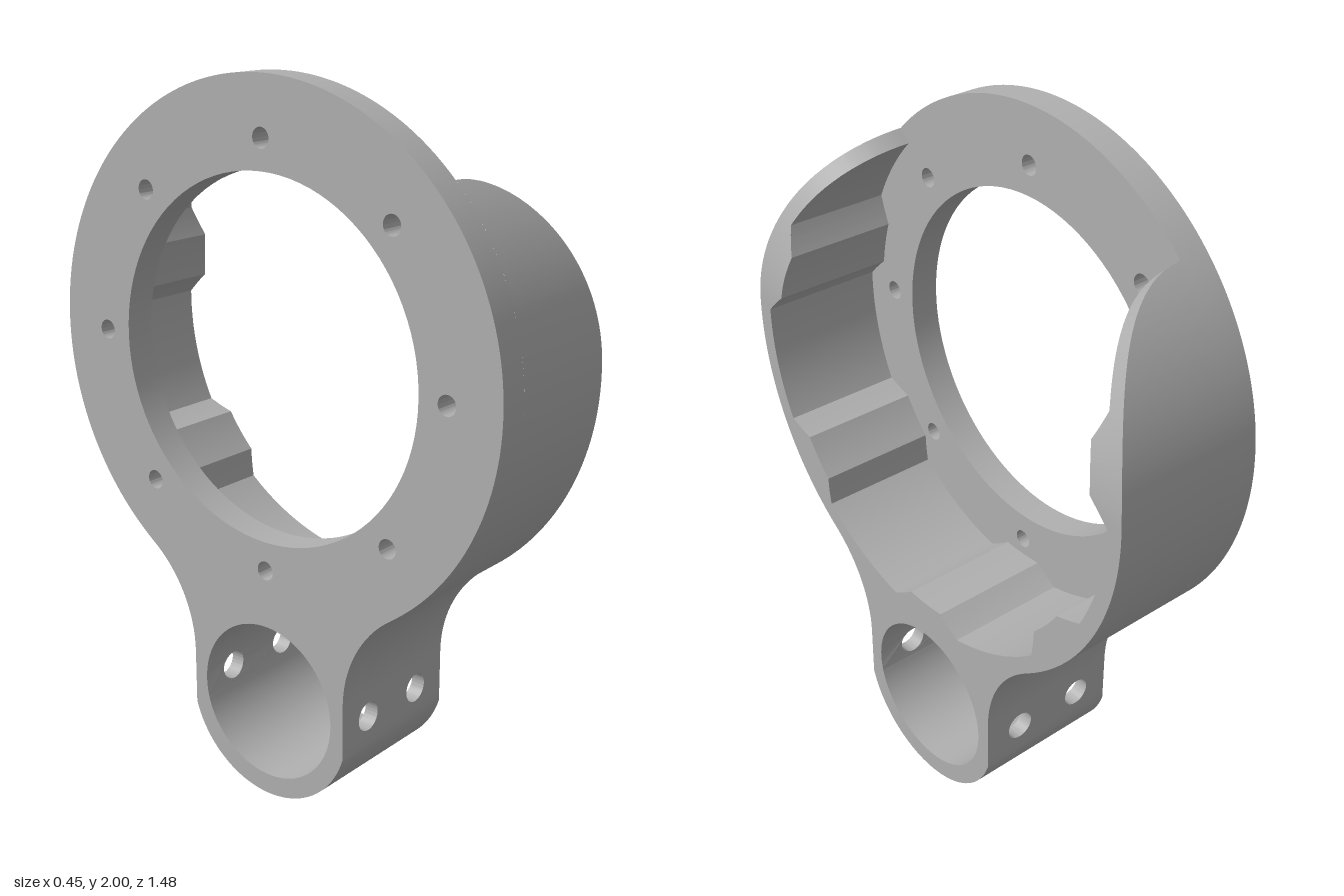
import * as THREE from 'three';
import { toCreasedNormals } from 'three/addons/utils/BufferGeometryUtils.js';

const RAD = Math.PI / 180;
const BACK = -0.225, STEP = -0.137, FRONT = 0.225;      // depth planes along x
const RING = { y: 1.262, r: 0.738, bore: 0.497 };       // large ring
const CLAMP = { y: 0.2875, r: 0.228, half: 0.27, dy: 0.0525 }; // tube clamp
const NECK = { z: 0.635, y: 0.36, r: 0.365 };           // concave fillet
const WALL_END = 93, TIP_END = 134.5;                   // degrees from straight down

const v2 = (x, y) => new THREE.Vector2(x, y);
const polar = (r, deg) => v2(r * Math.sin(deg * RAD), RING.y - r * Math.cos(deg * RAD));
const mirror = (pts) => pts.map((p) => v2(-p.x, p.y)).reverse();

// Arc points, angles in degrees counter-clockwise from +x
function arc(cx, cy, r, a0, a1, n) {
  return Array.from({ length: n + 1 }, (_, i) => {
    const a = (a0 + (a1 - a0) * i / n) * RAD;
    return v2(cx + r * Math.cos(a), cy + r * Math.sin(a));
  });
}

function circleHole(x, y, r) {
  return new THREE.Path().absarc(x, y, r, 0, Math.PI * 2, true);
}

// Extrude a side profile along x
function slab(shape, x0, x1) {
  const g = new THREE.ExtrudeGeometry(shape, { depth: x1 - x0, bevelEnabled: false, curveSegments: 48 });
  g.translate(0, 0, x0);
  g.rotateY(Math.PI / 2);
  return toCreasedNormals(g, 0.4);
}

// Pocket radius: seven evenly spaced inward ribs with sloped flanks
function pocketRadius(deg) {
  const pitch = 360 / 7;
  const d = Math.abs(deg - Math.round(deg / pitch) * pitch);
  return 0.633 + 0.057 * THREE.MathUtils.clamp((d - 6) / 5.5, 0, 1);
}

// Sampled angles plus the exact rib corners
function withRibCorners(angles, lo, hi) {
  for (let k = -3; k <= 3; k++)
    for (const d of [-11.5, -6, 6, 11.5]) angles.push(k * 360 / 7 + d);
  return angles.filter((a) => a >= lo && a <= hi).sort((a, b) => a - b)
    .filter((a, i, s) => i === 0 || a - s[i - 1] > 0.01);
}

// Right half of the outer outline, from the clamp up to a ring angle
function outerHalf(endDeg) {
  const start = Math.atan2(NECK.z, RING.y - NECK.y) / RAD;
  const pts = [v2(CLAMP.half, CLAMP.y + CLAMP.dy)];
  pts.push(...arc(NECK.z, NECK.y, NECK.r, 180, 90 + start, 16));
  const n = Math.ceil((endDeg - start) / 2);
  for (let i = 1; i <= n; i++) pts.push(polar(RING.r, start + (endDeg - start) * i / n));
  return pts;
}

const cheekAngle = Math.asin(CLAMP.dy / CLAMP.r) / RAD;
const clampRoof = () => arc(0, CLAMP.y, CLAMP.r, 180 - cheekAngle, cheekAngle, 40);

// Back plate with bore and eight bolt holes
function plateGeometry() {
  const half = outerHalf(180);
  const shape = new THREE.Shape([...half, ...mirror(half).slice(1), ...clampRoof()]);
  shape.holes.push(circleHole(0, RING.y, RING.bore));
  for (let i = 0; i < 8; i++) {
    const p = polar(0.58, i * 45);
    shape.holes.push(circleHole(p.x, p.y, 0.027));
  }
  return slab(shape, BACK, STEP);
}

// Lower housing wall with ribbed pocket and neck
function wallGeometry() {
  const half = outerHalf(WALL_END);
  const samples = Array.from({ length: 94 }, (_, i) => -WALL_END + i * 2);
  const pocket = withRibCorners(samples, -WALL_END, WALL_END).reverse()
    .map((a) => polar(pocketRadius(a), a));
  return slab(new THREE.Shape([...half, ...pocket, ...mirror(half), ...clampRoof()]), STEP, FRONT);
}

// Upper wall tip whose height falls away along a quarter ellipse
function tipGeometry(side) {
  const span = TIP_END - WALL_END;
  const samples = Array.from({ length: 41 }, (_, i) => WALL_END + span * (1 - Math.cos(i / 40 * Math.PI / 2)));
  samples.push(...Array.from({ length: 20 }, (_, i) => WALL_END + span * Math.sin(i / 20 * Math.PI / 2)));
  samples.push(TIP_END);
  const sections = withRibCorners(samples, WALL_END, TIP_END).map((a) => {
    const x = STEP + (FRONT - STEP) * Math.sqrt(Math.max(0, 1 - ((a - WALL_END) / span) ** 2));
    const o = polar(RING.r, a), i = polar(pocketRadius(a), a);
    return [[STEP, o.y, side * o.x], [x, o.y, side * o.x], [x, i.y, side * i.x], [STEP, i.y, side * i.x]];
  });
  const pos = [];
  const tri = (a, b, c) => pos.push(...a, ...(side > 0 ? [...b, ...c] : [...c, ...b]));
  for (let s = 0; s < sections.length - 1; s++) {
    const p = sections[s], q = sections[s + 1];
    for (let k = 0; k < 3; k++) {
      tri(p[k], q[k + 1], q[k]);
      tri(p[k], p[k + 1], q[k + 1]);
    }
  }
  const g = new THREE.BufferGeometry();
  g.setAttribute('position', new THREE.Float32BufferAttribute(pos, 3));
  return toCreasedNormals(g, 0.4);
}

// Rounded underside of the clamp
function clampBaseGeometry() {
  const a = Math.atan2(0.282 - 0.2, CLAMP.half) / RAD;
  const top = CLAMP.y - CLAMP.dy;
  return slab(new THREE.Shape([
    v2(-CLAMP.half, top),
    ...arc(0, 0.282, 0.282, 180 + a, 360 - a, 40),
    v2(CLAMP.half, top),
    ...arc(0, CLAMP.y, CLAMP.r, 360 - cheekAngle, 180 + cheekAngle, 40),
  ]), BACK, FRONT);
}

// Clamp side with two screw holes, flat outside and curved inside
function cheekGeometry(side) {
  const y0 = CLAMP.y - CLAMP.dy, n = 8;
  const edge = (x) => Array.from({ length: n + 1 }, (_, i) => v2(x, y0 + 2 * CLAMP.dy * i / n));
  const shape = new THREE.Shape([...edge(FRONT), ...edge(BACK).reverse()]);
  for (const x of [-0.112, 0.105]) shape.holes.push(circleHole(side * x, CLAMP.y, 0.042));
  const g = new THREE.ExtrudeGeometry(shape, { depth: 1, bevelEnabled: false, curveSegments: 24 });
  const p = g.attributes.position;
  for (let i = 0; i < p.count; i++) {
    const inner = Math.sqrt(CLAMP.r ** 2 - (p.getY(i) - CLAMP.y) ** 2);
    p.setZ(i, p.getZ(i) > 0.5 ? CLAMP.half : inner);
  }
  if (side < 0) g.rotateY(Math.PI);
  return toCreasedNormals(g, 0.4);
}

export function createModel() {
  const model = new THREE.Group();
  model.name = 'ringMountBracket';
  const grey = new THREE.MeshStandardMaterial({ color: 0xb0b0b0 });
  grey.name = 'plainGrey';
  const add = (name, geometry) => {
    const mesh = new THREE.Mesh(geometry, grey);
    mesh.name = name;
    model.add(mesh);
  };
  add('backPlate', plateGeometry());
  add('housingWall', wallGeometry());
  add('clampBase', clampBaseGeometry());
  for (const [label, side] of [['front', 1], ['rear', -1]]) {
    add(label + 'WallTip', tipGeometry(side));
    add(label + 'ClampCheek', cheekGeometry(side));
  }
  return model;
}
